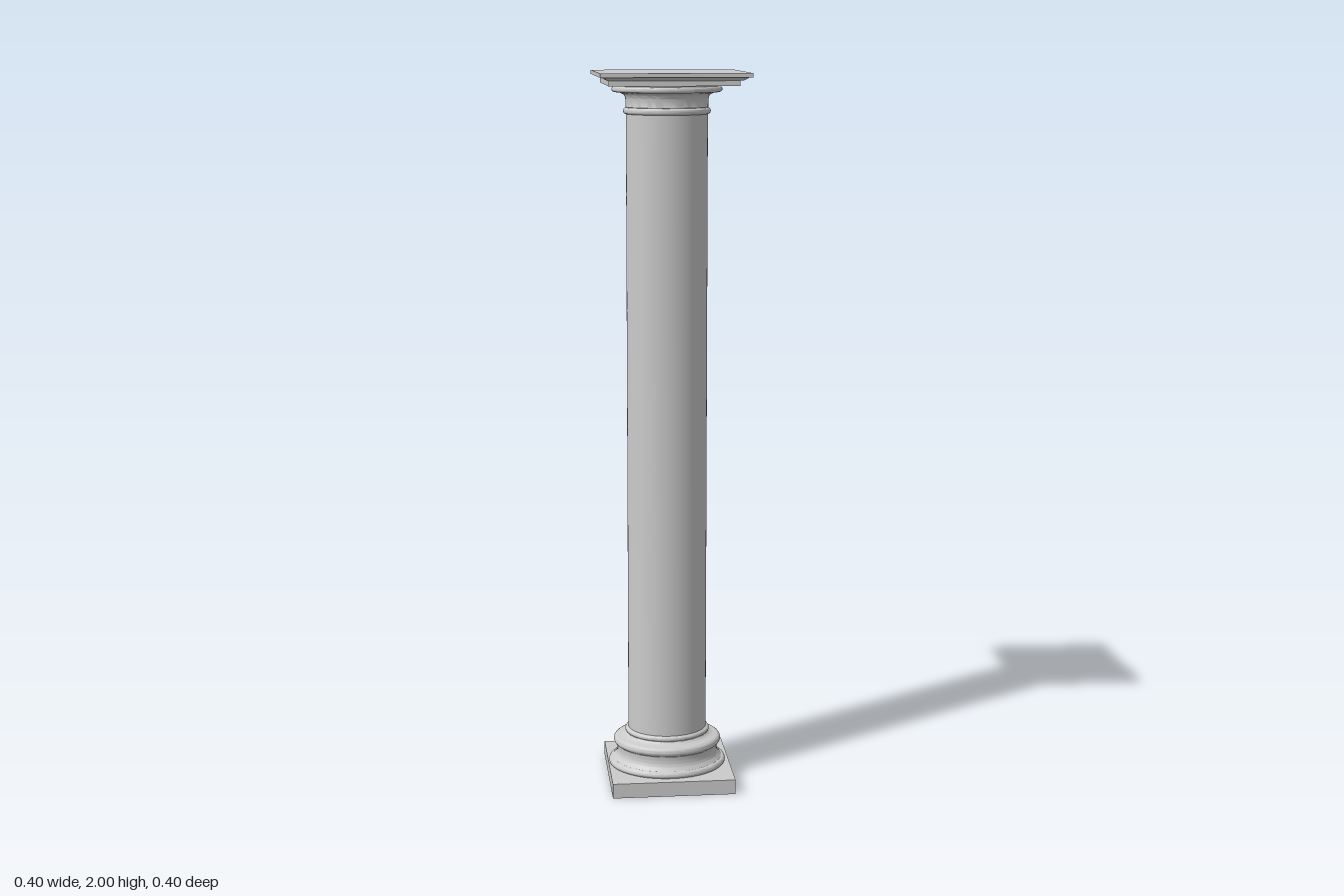
import * as THREE from 'three';
import { toCreasedNormals } from 'three/addons/utils/BufferGeometryUtils.js';

const material = new THREE.MeshStandardMaterial({ color: 0xcccccc });
const CX = -0.007, CZ = 0.003; // axis of the turned parts
const DEPTH = 0.9; // turned parts are slightly oval

function add(group, name, geometry, x, y, z) {
  const mesh = new THREE.Mesh(geometry, material);
  mesh.name = name;
  mesh.position.set(x, y, z);
  group.add(mesh);
  return mesh;
}

// Half-round bulge between two heights, reaching radius r
function bulge(r, y0, y1, steps = 8) {
  const h = (y1 - y0) / 2;
  return Array.from({ length: steps + 1 }, (_, i) => {
    const a = -Math.PI / 2 + (Math.PI * i) / steps;
    return [r - h + h * Math.cos(a), y0 + h + h * Math.sin(a)];
  });
}

// Smooth curve through a few [radius, height] points
function sweep(points, steps = 10) {
  const curve = new THREE.SplineCurve(points.map(([r, y]) => new THREE.Vector2(r, y)));
  return curve.getPoints(steps).map((p) => [p.x, p.y]);
}

function turned(group, name, profile) {
  const points = profile.map(([r, y]) => new THREE.Vector2(r, y));
  const geometry = toCreasedNormals(new THREE.LatheGeometry(points, 64), 0.7);
  geometry.scale(1, 1, DEPTH);
  add(group, name, geometry, CX, 0, CZ);
}

// Square slab, optionally flared from bottom to top
function slab(group, name, bottom, top, y0, y1, x, z) {
  const k = Math.SQRT2;
  const geometry = new THREE.CylinderGeometry(top * k, bottom * k, y1 - y0, 4).toNonIndexed();
  geometry.rotateY(Math.PI / 4);
  geometry.computeVertexNormals();
  add(group, name, geometry, x, (y0 + y1) / 2, z);
}

export function createModel() {
  const column = new THREE.Group();
  column.name = 'column';

  // Square foot
  slab(column, 'plinth', 0.173, 0.173, 0, 0.042, -0.003, 0.003);

  // Base mouldings: lower torus, hollow, upper torus, collar
  turned(column, 'base', [
    [0, 0.04],
    ...bulge(0.167, 0.04, 0.06),
    ...sweep([[0.156, 0.06], [0.147, 0.07], [0.143, 0.083], [0.144, 0.1]]),
    ...bulge(0.153, 0.1, 0.126),
    ...sweep([[0.138, 0.126], [0.124, 0.13], [0.117, 0.136]], 6),
    ...bulge(0.12, 0.136, 0.15),
    [0.111, 0.151],
  ]);

  // Plain shaft
  turned(column, 'shaft', [[0.111, 0.14], [0.111, 1.895]]);

  // Capital: astragal ring, necking, echinus
  turned(column, 'capital', [
    [0.111, 1.886],
    ...bulge(0.119, 1.887, 1.905),
    [0.112, 1.906],
    ...sweep([[0.112, 1.925], [0.116, 1.938], [0.13, 1.945]], 8),
    ...bulge(0.15, 1.946, 1.962),
    [0.142, 1.967],
    [0, 1.967],
  ]);

  // Stepped square top
  slab(column, 'lowerAbacus', 0.173, 0.173, 1.966, 1.981, -0.003, 0.003);
  slab(column, 'abacusFlare', 0.178, 0.194, 1.98, 1.99, 0, 0);
  slab(column, 'upperAbacus', 0.2, 0.2, 1.989, 2, 0, 0);

  return column;
}
